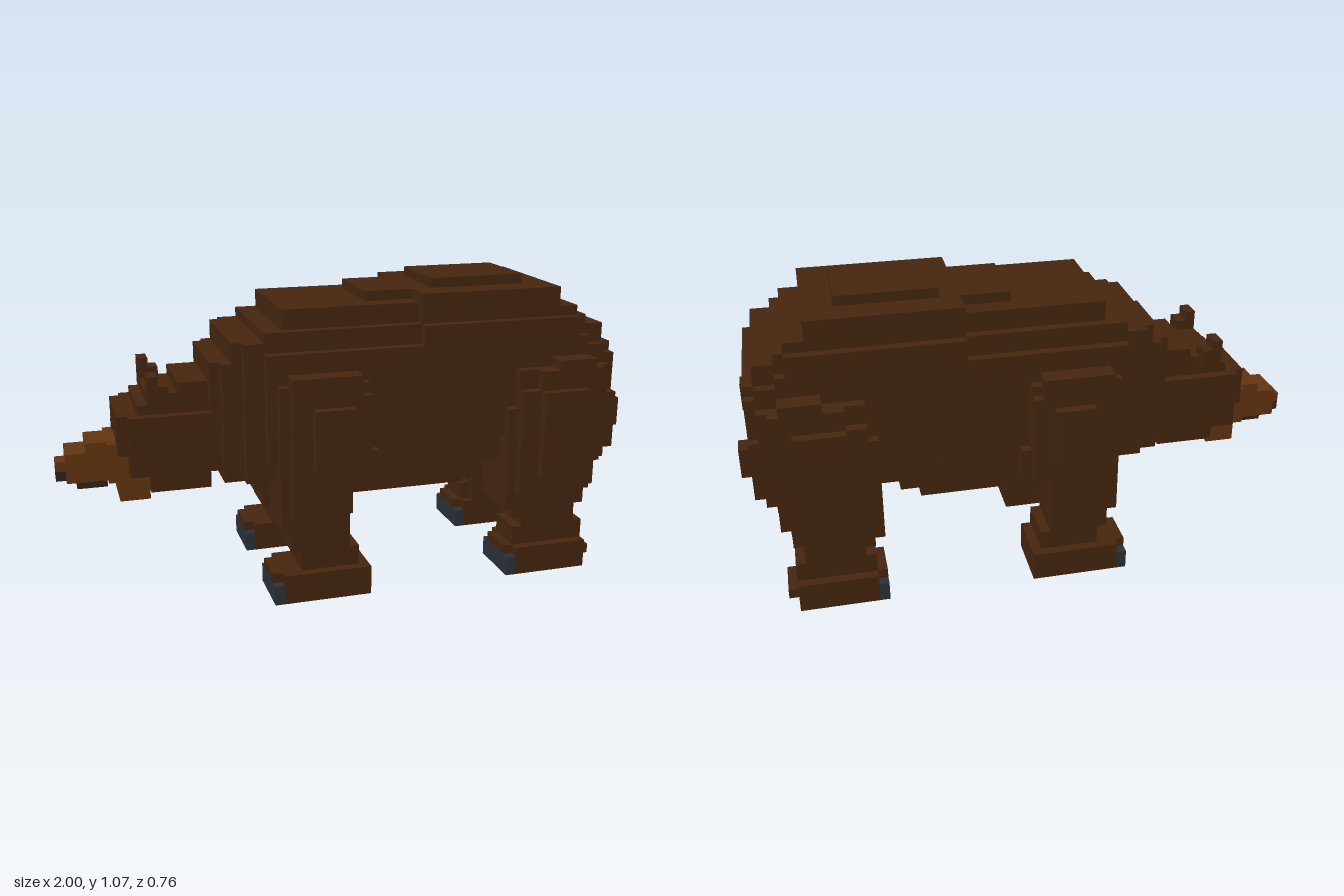
import * as THREE from 'three';

// Block bear walking towards -x, laid out on a grid of 58 cells along its length
const V = 1 / 29;
const mat = (color) => new THREE.MeshStandardMaterial({ color, flatShading: true });

export function createModel() {
  const bear = new THREE.Group();
  bear.name = 'bear';
  const fur = mat(0x46260f), muzzle = mat(0x633510), slate = mat(0x2b3238), nose = mat(0x33241a);

  const part = (name) => {
    const g = new THREE.Group();
    g.name = name;
    bear.add(g);
    return g;
  };
  // Box between two grid corners
  const box = (g, name, m, x0, x1, y0, y1, z0, z1) => {
    const mesh = new THREE.Mesh(new THREE.BoxGeometry((x1 - x0) * V, (y1 - y0) * V, (z1 - z0) * V), m);
    mesh.position.set((x0 + x1) / 2 * V, (y0 + y1) / 2 * V, (z0 + z1) / 2 * V);
    mesh.name = name;
    g.add(mesh);
  };
  // Rows of [x0, x1, y0, y1, halfWidth], centred on z = 0
  const slabs = (g, name, m, rows) =>
    rows.forEach(([x0, x1, y0, y1, h]) => box(g, name, m, x0, x1, y0, y1, -h, h));
  // Rows of [x0, x1, y0, y1, z0, z1], on one side
  const blocks = (g, name, m, side, rows) =>
    rows.forEach(([x0, x1, y0, y1, a, b]) =>
      box(g, name, m, x0, x1, y0, y1, Math.min(a * side, b * side), Math.max(a * side, b * side)));

  // Torso: shoulders, back and belly
  const torso = part('torso');
  slabs(torso, 'shoulders', fur, [
    [-9, 10, 14, 25, 8], [-9, 7, 12, 27, 7], [-7, 7, 12, 29, 6],
  ]);
  slabs(torso, 'back', fur, [
    [7, 22, 15, 27, 8], [7, 22, 12, 30, 7], [2, 7, 28, 30, 4], [9, 19, 30, 31, 4],
  ]);
  slabs(torso, 'belly', fur, [
    [-8, -1, 11, 14, 7], [-1, 12, 10, 15, 7], [12, 14, 11, 15, 7], [14, 20, 12, 15, 7],
  ]);
  // Rump, stepping down towards the rear
  slabs(torso, 'rump', fur, [
    [22, 24, 13, 28, 7], [22, 24, 15, 27, 8], [24, 25, 14, 27, 7], [24, 25, 15, 25, 8],
    [25, 27, 16, 26, 7], [25, 27, 17, 24, 8], [27, 28, 17, 24, 7], [27, 28, 17, 23, 8],
  ]);

  // Neck
  slabs(part('neck'), 'neckStep', fur, [
    [-11, -9, 12, 26, 7], [-12, -11, 12, 26, 6], [-13, -12, 12, 24, 6], [-14, -13, 13, 24, 5],
  ]);

  // Head, narrowing upwards and forwards
  const head = part('head');
  slabs(head, 'skull', fur, [
    [-20, -14, 11, 13, 4], [-22, -13, 13, 19, 5], [-17, -13, 19, 22, 4],
    [-20, -17, 19, 21, 4], [-21, -20, 19, 20, 4], [-23, -21, 15, 19, 4],
  ]);
  slabs(head, 'muzzle', muzzle, [
    [-26, -22, 12, 16, 2], [-24, -22, 12, 16, 3], [-28, -26, 12, 15, 2],
    [-23, -20, 10, 13, 3],
  ]);
  slabs(head, 'mouth', nose, [[-27, -24, 11, 12, 1], [-29, -27, 12, 13, 1]]);
  slabs(head, 'noseTip', muzzle, [[-29, -28, 13, 14, 1]]);
  for (const side of [1, -1]) {
    blocks(head, 'ear', fur, side, [[-20, -19, 20, 23, 3, 5], [-19, -18, 20, 22, 3, 5]]);
    blocks(head, 'eye', slate, side, [[-23.1, -22, 16, 17, 2, 3]]);
  }

  // Paw with dark claws along the front edge
  const paw = (g, side, x, back) => {
    blocks(g, 'paw', fur, side, [[x + 1, back, 0, 3, 4, 10], [x, back, 2, 3, 5, 9]]);
    blocks(g, 'claws', slate, side, [[x, x + 1, 0, 2, 4, 10]]);
  };

  for (const side of [1, -1]) {
    // Front leg
    const front = part(side > 0 ? 'leftFrontLeg' : 'rightFrontLeg');
    paw(front, side, -9, 1);
    blocks(front, 'shin', fur, side, [
      [-6, -1, 3, 7, 5, 9], [-6, 0, 3, 5, 4, 9], [-7, -1, 5, 7, 4, 9],
    ]);
    blocks(front, 'upperLeg', fur, side, [
      [-8, -1, 7, 12, 4, 9], [-8, 2, 12, 15, 4, 9], [-8, 1, 15, 22, 6, 9],
      [-7, -1, 9, 12, 4, 10], [-7, 1, 12, 21, 6, 10], [-7, 0, 21, 23, 6, 10],
    ]);
    blocks(front, 'shoulderPad', fur, side, [[-5, -1, 14, 20, 9, 11]]);

    // Hind leg
    const hind = part(side > 0 ? 'leftHindLeg' : 'rightHindLeg');
    paw(hind, side, 16, 25);
    blocks(hind, 'heel', fur, side, [[25, 26, 1, 2, 5, 9]]);
    blocks(hind, 'shin', fur, side, [
      [17, 25, 3, 5, 5, 9], [18, 24, 3, 8, 4, 9], [17, 24, 6, 8, 4, 9],
    ]);
    blocks(hind, 'thigh', fur, side, [
      [16, 25, 7, 10, 3, 9], [16, 26, 9, 16, 3, 9], [16, 27, 12, 18, 4, 9],
      [27, 28, 13, 19, 4, 9], [17, 27, 16, 22, 6, 9],
      [17, 25, 9, 20, 8, 10], [25, 26, 12, 22, 8, 10], [19, 26, 20, 22, 8, 10], [21, 25, 22, 23, 8, 10],
    ]);
    blocks(hind, 'thighPad', fur, side, [[19, 24, 11, 20, 9, 11]]);
    blocks(hind, 'haunchStud', fur, side, [[28, 29, 15, 18, 6, 8]]);
  }
  return bear;
}
